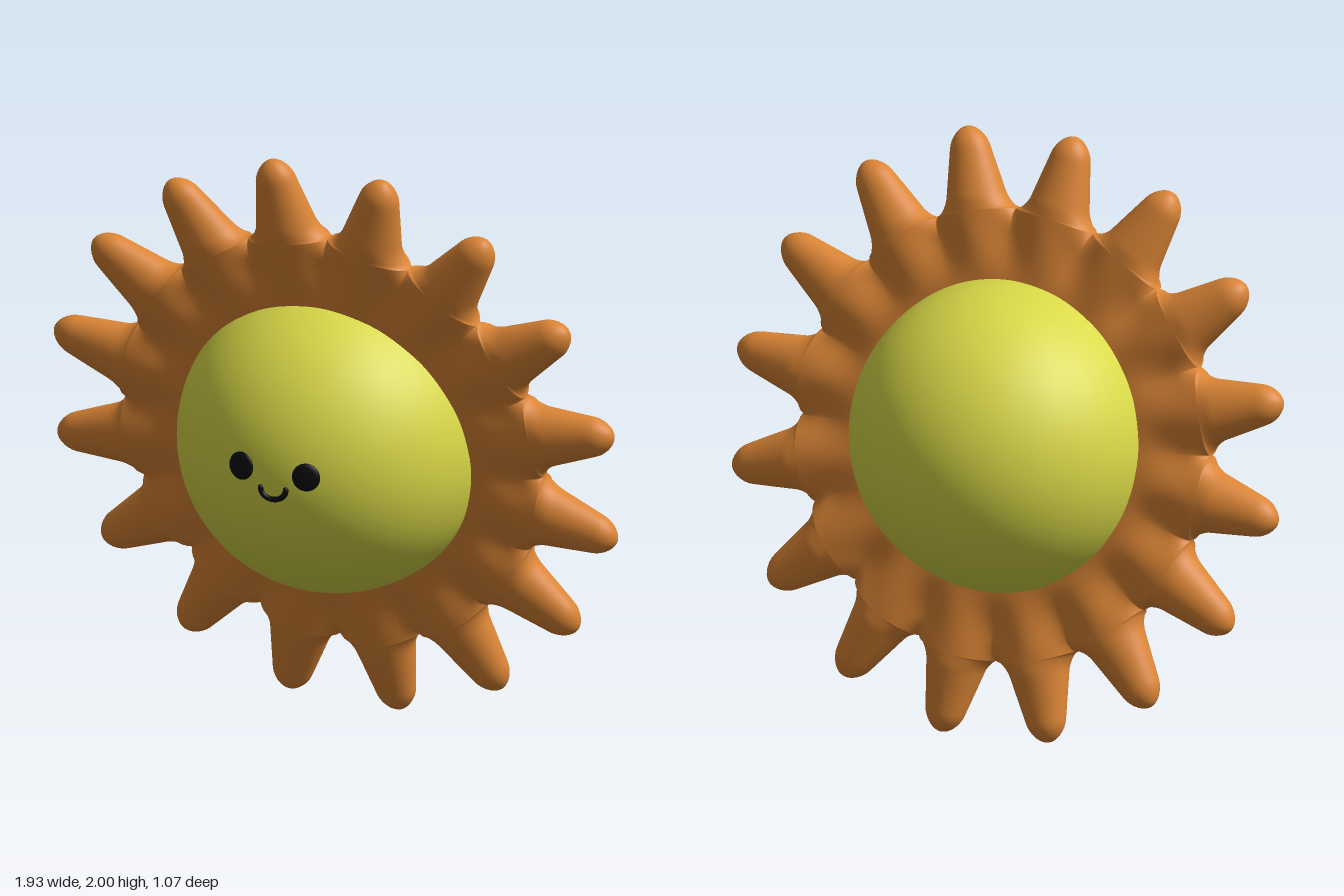
import * as THREE from 'three';
import { mergeVertices } from 'three/addons/utils/BufferGeometryUtils.js';

const BALL = 0.53, SPIKES = 16;
const INNER = 0.48, VALLEY = 0.76, TIP = 1.036;
const { lerp, smoothstep } = THREE.MathUtils;
const quarter = t => Math.sqrt(Math.max(0, 1 - t * t)); // rounded fall from 1 to 0

// Half-width of one spike at radius r
function halfWidth(r) {
  const sector = Math.PI / SPIKES * r;
  if (r <= VALLEY) return sector;
  const taper = 0.104 - (r - 0.81) * 0.22;
  if (r < 0.81) return sector - (sector - taper) * quarter((0.81 - r) / 0.05);
  return taper * quarter(Math.max(0, r - 0.97) / (TIP - 0.97));
}

// Half-thickness at radius r, f = -1..1 across a spike
function halfThickness(r, f) {
  const ridge = (r < 0.8 ? lerp(0.076, 0.085, smoothstep(r, 0.5, 0.72)) : lerp(0.085, 0.058, (r - 0.8) / 0.17))
    * quarter(Math.max(0, r - 0.97) / (TIP - 0.97));
  const groove = lerp(0.076, 0.052, smoothstep(r, 0.5, 0.69)) * quarter(Math.max(0, r - 0.69) / (VALLEY - 0.69));
  const across = lerp(Math.cos(f * Math.PI / 2) ** 2, Math.max(0, 1 - f * f), smoothstep(r, 0.69, 0.78));
  return Math.sqrt(groove * groove + (ridge * ridge - groove * groove) * across);
}

// Ring of tapering spikes, swept as a front and a back sheet that meet at the rim
function spikedRing() {
  const radii = [], F = 8, N = 14, M = 24;
  for (let i = 0; i <= N; i++) radii.push(INNER + (VALLEY - INNER) * Math.sin(i / N * Math.PI / 2));
  for (let i = 1; i <= M; i++) radii.push(VALLEY + (TIP - VALLEY) * (1 - Math.cos(i / M * Math.PI)) / 2);
  const pos = [], index = [], cols = 2 * F + 1;
  for (const side of [1, -1]) for (let s = 0; s < SPIKES; s++) {
    const start = pos.length / 3;
    radii.forEach((r, i) => {
      for (let j = 0; j < cols; j++) {
        const f = Math.sin((j / F - 1) * Math.PI / 2);
        const a = s * 2 * Math.PI / SPIKES + f * halfWidth(r) / r;
        pos.push(Math.sin(a) * r, Math.cos(a) * r, side * halfThickness(r, f));
        if (i && j) {
          const d = start + i * cols + j, c = d - 1, b = d - cols, e = b - 1;
          if (side > 0) index.push(e, b, d, e, d, c);
          else index.push(e, d, b, e, c, d);
        }
      }
    });
  }
  const g = new THREE.BufferGeometry();
  g.setAttribute('position', new THREE.Float32BufferAttribute(pos, 3));
  g.setIndex(index);
  const merged = mergeVertices(g, 1e-4);
  merged.computeVertexNormals();
  return merged;
}

// Point on the front of the ball at the given x, y
const onBall = (x, y, r = BALL) => new THREE.Vector3(x, y, Math.sqrt(r * r - x * x - y * y));

export function createModel() {
  const group = new THREE.Group();
  group.position.set(0, 1, -0.01);
  const add = (name, geometry, material, parent = group) => {
    const mesh = new THREE.Mesh(geometry, material);
    mesh.name = name;
    parent.add(mesh);
    return mesh;
  };
  const yellow = new THREE.MeshStandardMaterial({ color: 0xd9d948 });
  const orange = new THREE.MeshStandardMaterial({ color: 0xdb8535, side: THREE.DoubleSide });
  const black = new THREE.MeshStandardMaterial({ color: 0x0a0a0a });

  add('ball', new THREE.SphereGeometry(BALL, 96, 64), yellow);

  // Tilted ring, with one spike along the up axis
  const normal = new THREE.Vector3(-0.35, -0.25, 1).normalize();
  const up = new THREE.Vector3(-0.2, 1, 0.18).normalize();
  const right = up.clone().cross(normal).normalize();
  up.copy(normal).cross(right);
  const ring = add('spikedRing', spikedRing(), orange);
  ring.quaternion.setFromRotationMatrix(new THREE.Matrix4().makeBasis(right, up, normal));

  // Face: two flattened eyes and a smile lying on the ball
  const face = new THREE.Group();
  face.name = 'face';
  group.add(face);
  for (const [name, x, y] of [['rightEye', -0.275, 0.018], ['leftEye', -0.052, 0.005]]) {
    const eye = add(name, new THREE.SphereGeometry(0.048, 32, 20), black, face);
    eye.position.copy(onBall(x, y));
    eye.quaternion.setFromUnitVectors(new THREE.Vector3(0, 0, 1), eye.position.clone().normalize());
    eye.scale.z = 0.32;
  }
  const smilePoints = [];
  for (let i = 0; i <= 10; i++) {
    const a = Math.PI * (1 + i / 10);
    smilePoints.push(onBall(-0.164 + 0.043 * Math.cos(a), -0.045 + 0.038 * Math.sin(a)));
  }
  const smile = new THREE.CatmullRomCurve3(smilePoints);
  add('smile', new THREE.TubeGeometry(smile, 32, 0.01, 10), black, face);
  for (const end of [smilePoints[0], smilePoints[10]]) {
    add('smileEnd', new THREE.SphereGeometry(0.01, 12, 8), black, face).position.copy(end);
  }

  const model = new THREE.Group();
  model.name = 'smilingSun';
  model.add(group);
  return model;
}
